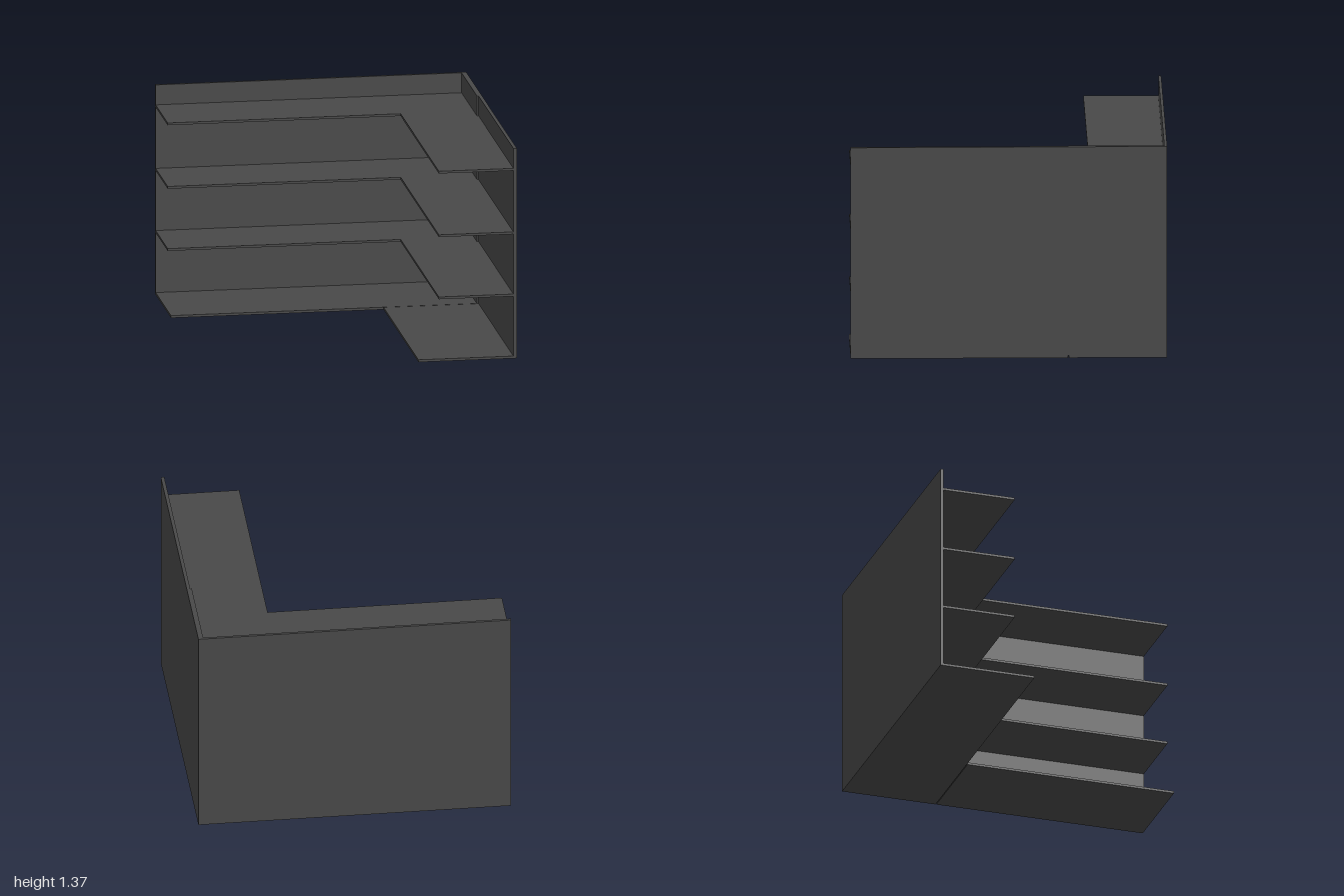
import * as THREE from 'three';

// Corner shelving unit: two walls meeting at the back, L-shaped shelves between
const X = 0.995, Z = 1, HEIGHT = 1.368, BOARD = 0.015;
const SEAM = -0.378; // where the corner module meets the side module

export function createModel() {
  const model = new THREE.Group();
  const charcoal = new THREE.MeshStandardMaterial({ color: 0x484848 });
  charcoal.name = 'charcoal';

  function add(name, geometry) {
    const mesh = new THREE.Mesh(geometry, charcoal);
    mesh.name = name;
    model.add(mesh);
  }

  // Board given by its lowest and highest corners
  function board(name, x0, x1, y0, y1, z0, z1) {
    const g = new THREE.BoxGeometry(x1 - x0, y1 - y0, z1 - z0);
    g.translate((x0 + x1) / 2, (y0 + y1) / 2, (z0 + z1) / 2);
    add(name, g);
  }

  // Deeper base, in two modules with a hairline gap
  board('cornerBase', -X, X, 0, BOARD, -Z, SEAM);
  board('sideBase', 0.365, X, 0, BOARD, SEAM + 0.005, Z);

  // Walls; the corner module's side wall is slightly thicker
  board('backPanel', -X, X, BOARD, HEIGHT, -Z, -0.982);
  board('cornerSidePanel', 0.963, X, BOARD, HEIGHT, -0.982, SEAM);
  board('sidePanel', 0.973, X, BOARD, HEIGHT, SEAM, Z);

  // L-shaped shelf outline (shape y is -z)
  const outline = new THREE.Shape([
    [-X, 0.982], [-X, 0.508], [0.496, 0.508], [0.496, -Z],
    [0.973, -Z], [0.973, -SEAM], [0.963, -SEAM], [0.963, 0.982],
  ].map(([x, y]) => new THREE.Vector2(x, y)));

  for (const y of [0.404, 0.809, 1.223]) {
    const g = new THREE.ExtrudeGeometry(outline, { depth: BOARD, bevelEnabled: false });
    g.rotateX(-Math.PI / 2).translate(0, y, 0);
    add('shelf', g);
  }

  return model;
}
